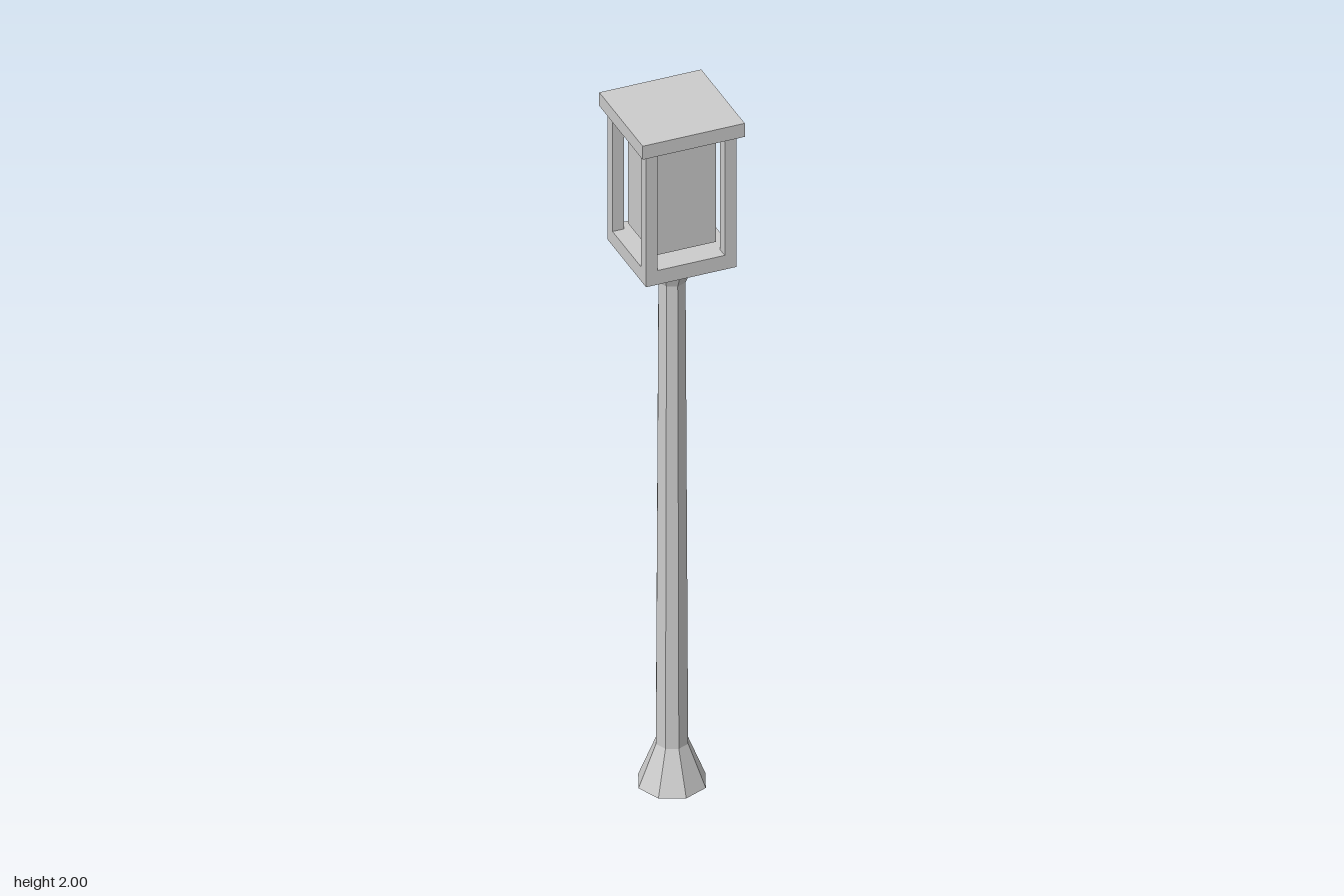
import * as THREE from 'three';

export function createModel() {
  const lamp = new THREE.Group();
  lamp.name = 'lampPost';
  const grey = new THREE.MeshStandardMaterial({ color: 0xcccccc, flatShading: true });
  grey.name = 'lightGrey';

  const add = (name, geometry, x, y, z) => {
    const mesh = new THREE.Mesh(geometry, grey);
    mesh.name = name;
    mesh.position.set(x, y, z);
    lamp.add(mesh);
  };
  // Eight-sided tapered section between two heights
  const section = (name, y0, y1, r0, r1, open) =>
    add(name, new THREE.CylinderGeometry(r1, r0, y1 - y0, 8, 1, open), 0, (y0 + y1) / 2, 0);
  // Square block between two heights
  const block = (name, width, y0, y1, x = 0, z = 0) =>
    add(name, new THREE.BoxGeometry(width, y1 - y0, width), x, (y0 + y1) / 2, z);

  // Flared foot, slender shaft and flared neck
  section('foot', 0, 0.12, 0.092, 0.044, false);
  section('shaft', 0.12, 1.49, 0.044, 0.037, true);
  section('neck', 1.49, 1.568, 0.037, 0.068, true);

  // Lantern floor, floating glass block and flat roof
  block('lanternFloor', 0.248, 1.568, 1.61);
  block('lanternGlass', 0.17, 1.63, 1.94);
  block('roof', 0.28, 1.96, 2);

  // Four corner posts
  for (const x of [-1, 1]) {
    for (const z of [-1, 1]) block('cornerPost', 0.032, 1.61, 1.96, x * 0.108, z * 0.108);
  }
  return lamp;
}
